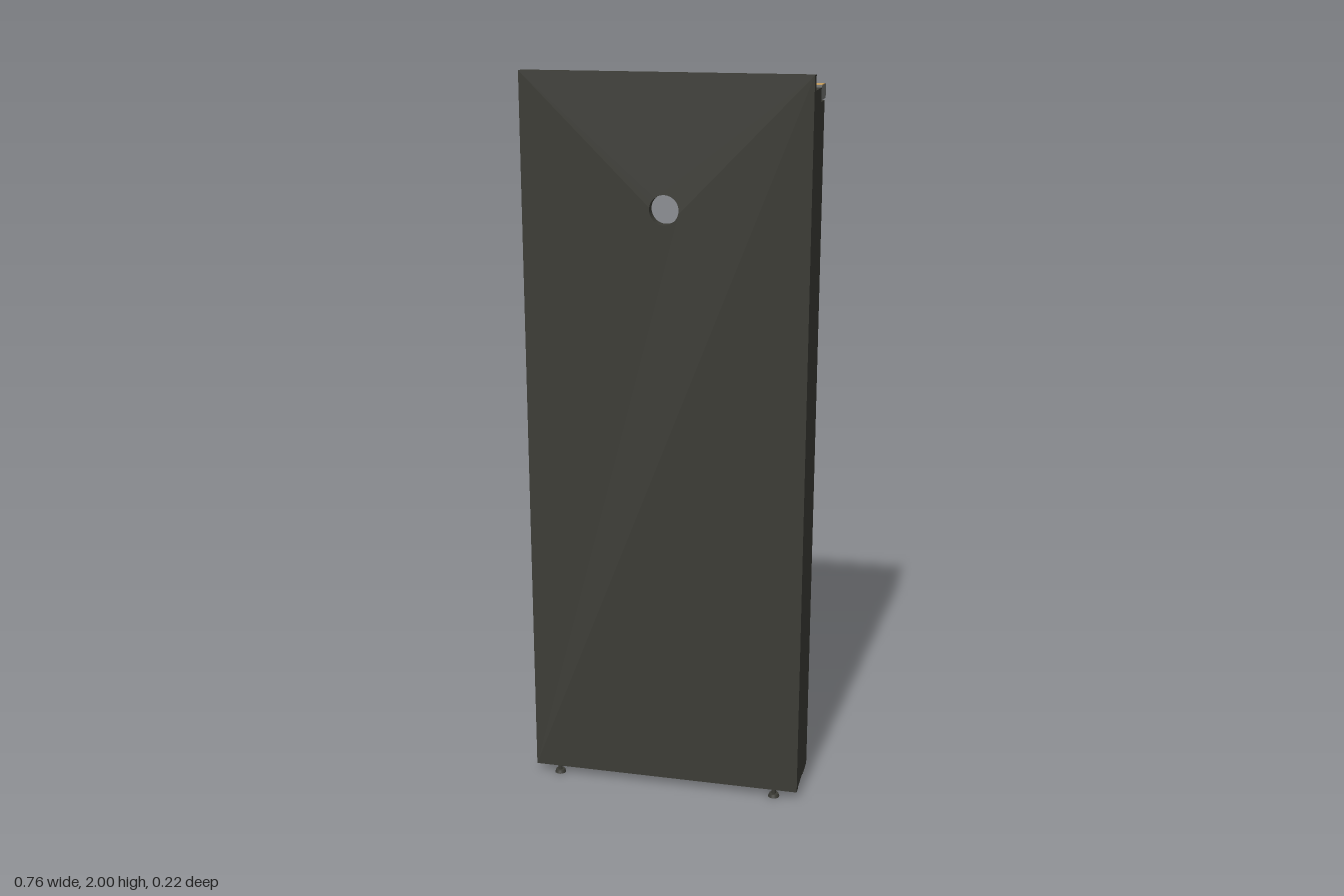
import * as THREE from 'three';

export function createModel() {
  const model = new THREE.Group();
  const makeMaterial = (name, color) => {
    const m = new THREE.MeshStandardMaterial({ color });
    m.name = name;
    return m;
  };
  const charcoal = makeMaterial('charcoal board', 0x3b3b35);
  const grey = makeMaterial('grey metal', 0x6f7170);
  const tan = makeMaterial('tan wood', 0xc9a05f);

  const add = (name, geometry, material, x = 0, y = 0, z = 0) => {
    const mesh = new THREE.Mesh(geometry, material);
    mesh.name = name;
    mesh.position.set(x, y, z);
    model.add(mesh);
    return mesh;
  };
  // Box given by its minimum and maximum along each axis
  const block = (name, material, [x0, x1], [y0, y1], [z0, z1]) =>
    add(name, new THREE.BoxGeometry(x1 - x0, y1 - y0, z1 - z0), material,
      (x0 + x1) / 2, (y0 + y1) / 2, (z0 + z1) / 2);

  // Front panel with a round hole
  const face = new THREE.Shape();
  face.moveTo(-0.382, 0.025);
  face.lineTo(0.382, 0.025);
  face.lineTo(0.382, 2);
  face.lineTo(-0.382, 2);
  face.closePath();
  const hole = new THREE.Path();
  hole.absarc(0, 1.655, 0.039, 0, Math.PI * 2, true);
  face.holes.push(hole);
  add('frontPanel', new THREE.ExtrudeGeometry(face,
    { depth: 0.028, bevelEnabled: false, curveSegments: 24 }), charcoal, 0, 0, 0.075);

  // Side boards, slotted runners under their back half, and levelling feet
  for (const s of [-1, 1]) {
    const span = (a, b) => (s > 0 ? [a, b] : [-b, -a]);
    block('sideBoard', charcoal, span(0.35, 0.381), [0.025, 1.924], [-0.09, 0.0745]);
    for (const x of [0.347, 0.36, 0.373]) {
      block('runnerFin', charcoal, span(x, x + 0.007), [0.013, 0.03], [-0.088, -0.028]);
    }
    add('footPad', new THREE.CylinderGeometry(0.013, 0.016, 0.009, 24), charcoal, s * 0.315, 0.0045, 0.091);
    add('footStem', new THREE.CylinderGeometry(0.006, 0.006, 0.02, 16), charcoal, s * 0.315, 0.018, 0.091);
  }

  // Shelves between the sides
  for (const y of [0.028, 0.51, 1.47, 1.899]) {
    block('shelf', charcoal, [-0.35, 0.35], [y, y + 0.025], [-0.062, 0.075]);
  }

  // Top board, metal rail along the back and its wooden inlay
  block('topBoard', charcoal, [-0.381, 0.381], [1.924, 1.96], [-0.03, 0.0745]);
  block('topRail', grey, [-0.381, 0.381], [1.928, 1.965], [-0.11, -0.03]);
  block('railInlay', tan, [-0.381, 0.381], [1.964, 1.967], [-0.086, -0.04]);

  return model;
}
